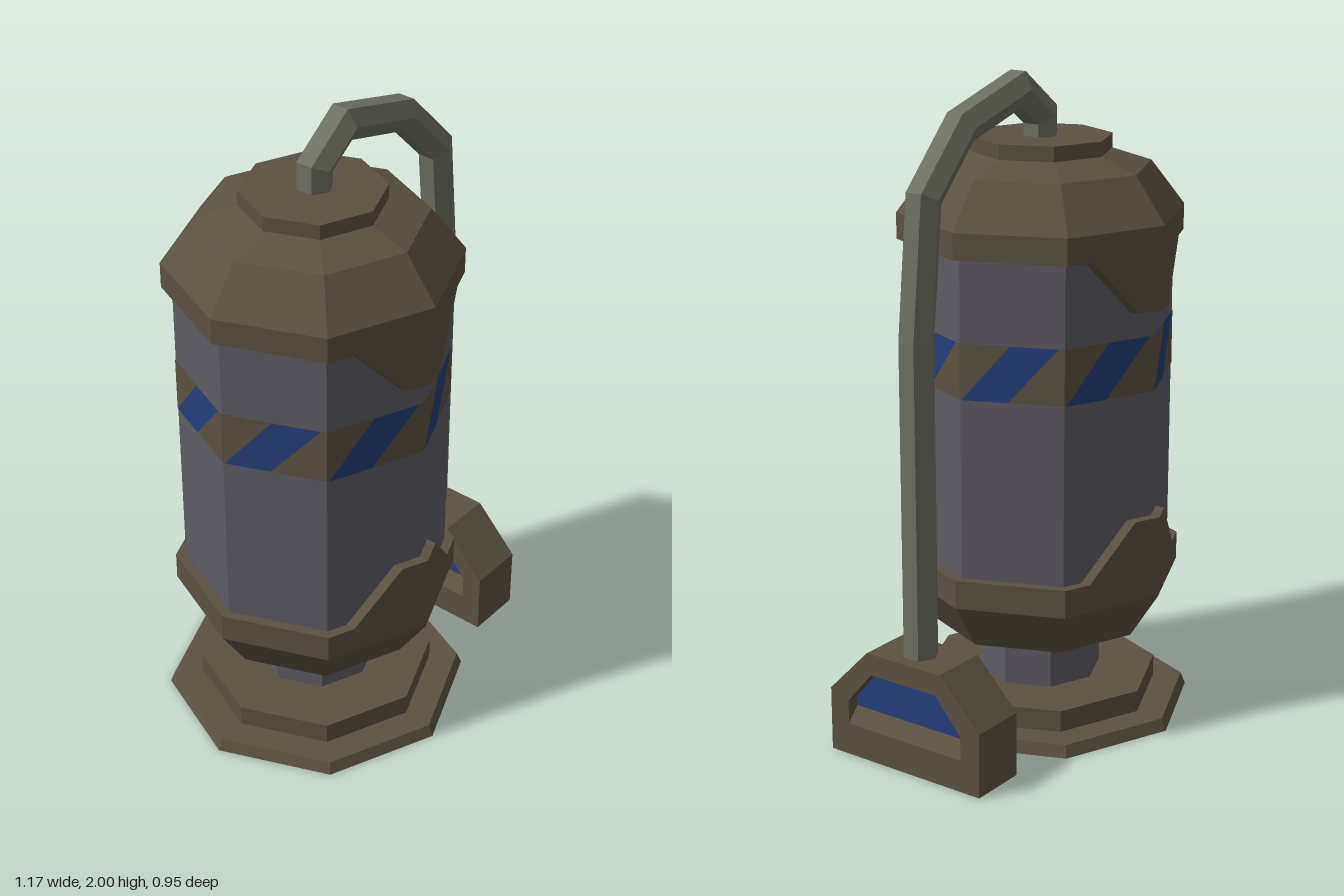
import * as THREE from 'three';

const mat = (color) => new THREE.MeshStandardMaterial({ color, flatShading: true });

export function createModel() {
  const model = new THREE.Group();
  const brown = mat(0x5c5242), steel = mat(0x5e5c64), hose = mat(0x6e7062), blue = mat(0x263f7a);

  const add = (name, geometry, material, parent = model) => {
    const mesh = new THREE.Mesh(geometry, material);
    mesh.name = name;
    parent.add(mesh);
    return mesh;
  };
  // Eight-sided turned part, profile listed from bottom to top
  const turned = (pts) => new THREE.LatheGeometry(pts.map(([r, y]) => new THREE.Vector2(r, y)), 8);
  const polygon = (pts, Type = THREE.Shape) => new Type(pts.map(([x, y]) => new THREE.Vector2(x, y)));
  const mesh3 = (positions, index) => {
    const g = new THREE.BufferGeometry();
    g.setAttribute('position', new THREE.Float32BufferAttribute(positions, 3));
    g.setIndex(index);
    g.computeVertexNormals();
    return g;
  };

  // Tank, standing off centre
  const tank = new THREE.Group();
  tank.name = 'tank';
  tank.position.x = -0.108;
  model.add(tank);
  const R = 0.405, CAP = 0.436;

  add('base', turned([[0, 0], [0.475, 0], [0.46, 0.037], [0.369, 0.037], [0.369, 0.105], [0, 0.105]]), brown, tank);
  add('neck', turned([[0.19, 0.1], [0.19, 0.26]]), steel, tank);
  add('body', turned([[R, 0.5], [R, 1.52]]), steel, tank);
  add('lowerCap', turned([[0, 0.245], [0.19, 0.245], [0.339, 0.285], [CAP, 0.435], [CAP, 0.523], [R - 0.01, 0.523]]), brown, tank);
  add('upperCap', turned([[R - 0.01, 1.5], [CAP, 1.5], [CAP, 1.58], [0.333, 1.715], [0.213, 1.755], [0.213, 1.8], [0, 1.8]]), brown, tank);

  // Folded tabs on the front and back corners of both caps
  const tab = (name, yEdge, yTip) => {
    for (const turn of [0, Math.PI]) {
      for (const s of [1, -1]) {
        const shape = polygon([[0, yEdge], [s * 0.228, yEdge], [s * 0.08, yTip], [0, yTip]]);
        const g = new THREE.ExtrudeGeometry(shape, { depth: CAP - R, bevelEnabled: false });
        const p = g.attributes.position;
        for (let i = 0; i < p.count; i++) {
          p.setZ(i, p.getZ(i) + R - Math.abs(p.getX(i)) * Math.tan(Math.PI / 8));
        }
        g.computeVertexNormals();
        add(name, g, brown, tank).rotation.y = turn;
      }
    }
  };
  tab('lowerTab', 0.523, 0.69);
  tab('upperTab', 1.5, 1.33);

  // Band with one slanted stripe per face
  const y0 = 1.08, y1 = 1.25;
  add('band', turned([[R + 0.002, y0], [R + 0.002, y1]]), brown, tank);
  const stripePos = [], stripeIdx = [];
  for (let i = 0; i < 8; i++) {
    const corner = (k) => new THREE.Vector3().setFromCylindricalCoords(R + 0.004, k * Math.PI / 4, 0);
    for (const [u, y] of [[0.02, y0], [0.46, y0], [0.94, y1], [0.48, y1]]) {
      const v = corner(i).lerp(corner(i + 1), u);
      stripePos.push(v.x, y, v.z);
    }
    const o = i * 4;
    stripeIdx.push(o, o + 1, o + 2, o, o + 2, o + 3);
  }
  add('stripes', mesh3(stripePos, stripeIdx), blue, tank);

  // Six-sided pipe with mitred bends
  const path = [[-0.1, 1.79], [-0.1, 1.862], [0.02, 1.951], [0.285, 1.876], [0.455, 1.7], [0.496, 1.3], [0.496, 0.34]]
    .map(([x, y]) => new THREE.Vector2(x, y));
  const pipePos = [], pipeIdx = [], r = 0.054;
  path.forEach((p, i) => {
    const dir = (k) => path[k + 1].clone().sub(path[k]).normalize();
    const a = dir(Math.max(i - 1, 0)), b = dir(Math.min(i, path.length - 2));
    const t = a.clone().add(b).normalize();
    const miter = 1 / t.dot(a);
    for (let k = 0; k < 6; k++) {
      const ang = k * Math.PI / 3, n = Math.sin(ang) * r * miter;
      pipePos.push(p.x + t.y * n, p.y - t.x * n, Math.cos(ang) * r);
      if (i > 0) {
        const k2 = (k + 1) % 6, lo = (i - 1) * 6, hi = i * 6;
        pipeIdx.push(lo + k, lo + k2, hi + k2, lo + k, hi + k2, hi + k);
      }
    }
  });
  add('pipe', mesh3(pipePos, pipeIdx), hose);

  // Side box: drawn in profile, extruded, then turned so its depth runs along x
  const box = new THREE.Group();
  box.name = 'sideBox';
  box.position.x = 0.4;
  box.rotation.y = Math.PI / 2;
  model.add(box);
  const width = 0.183, recess = 0.04;
  const mirrored = (half) => [...half, ...half.map(([x, y]) => [-x, y]).reverse()];
  const windowPts = mirrored([[0.21, 0.1], [0.21, 0.175], [0.12, 0.28]]);
  const frame = polygon(mirrored([[0.277, 0], [0.277, 0.2], [0.135, 0.347]]));
  frame.holes.push(polygon(windowPts, THREE.Path));
  add('boxFrame', new THREE.ExtrudeGeometry(frame, { depth: width, bevelEnabled: false }), brown, box);
  const pane = new THREE.ExtrudeGeometry(polygon(windowPts), { depth: width - 2 * recess, bevelEnabled: false });
  add('boxWindow', pane.translate(0, 0, recess), blue, box);

  // Sloping sills below the window on both sides
  for (const [outer, inner] of [[0, recess], [width, width - recess]]) {
    const sill = polygon([[outer, 0.1], [inner, 0.145], [inner, 0.1]]);
    const g = new THREE.ExtrudeGeometry(sill, { depth: 0.42, bevelEnabled: false });
    add('windowSill', g.translate(0.4, 0, -0.21), brown);
  }
  return model;
}
